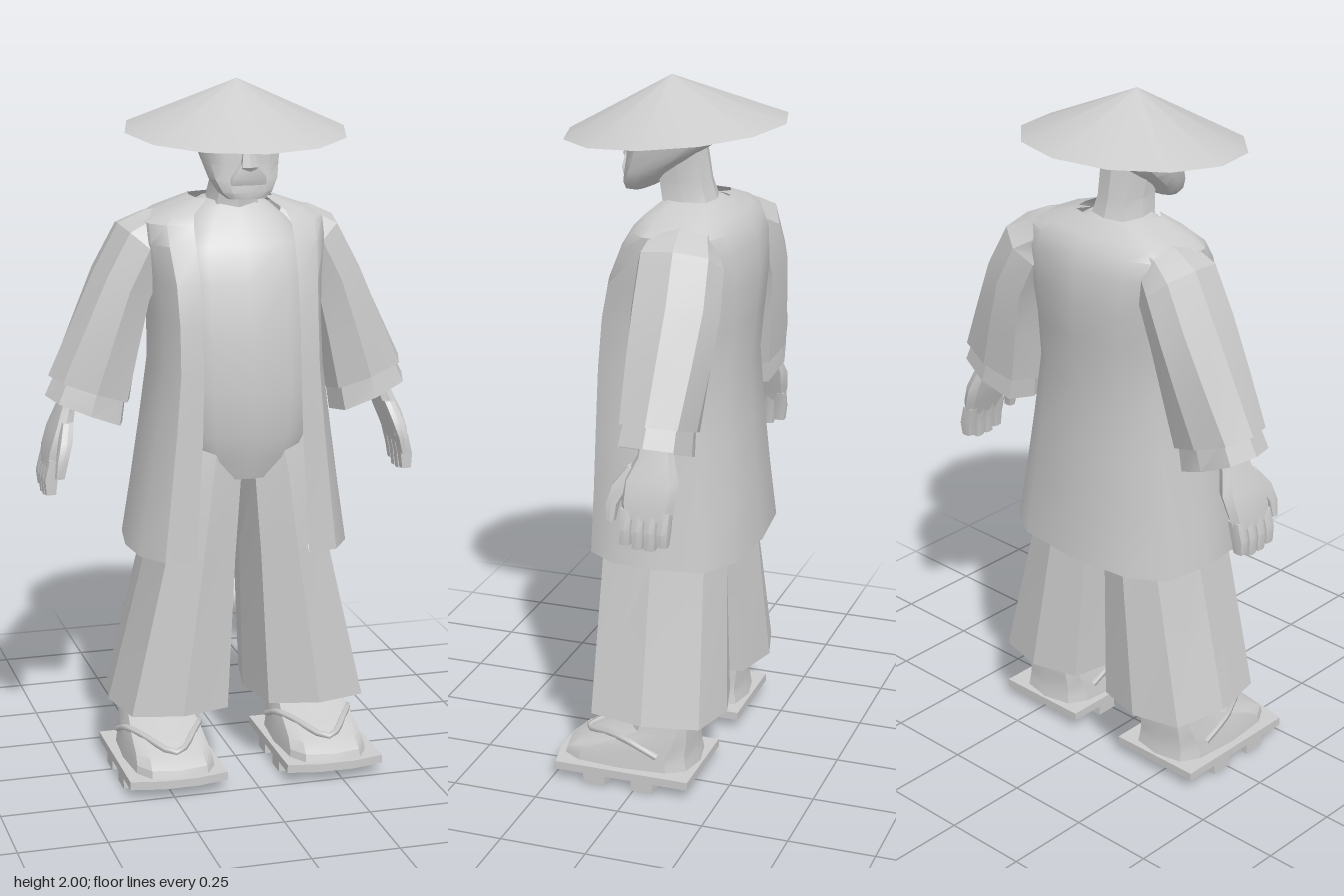
import * as THREE from 'three';
import { toCreasedNormals } from 'three/addons/utils/BufferGeometryUtils.js';

const material = new THREE.MeshStandardMaterial({ color: 0xcccccc });
const cloth = new THREE.MeshStandardMaterial({ color: 0xcccccc, side: THREE.DoubleSide });

// Rounded-square cross-section, counter-clockwise seen from above; tilt raises its +x side
function ring(cx, cy, cz, rx, rz, { n = 8, p = 0.6, tilt = 0 } = {}) {
  const round = (v) => Math.sign(v) * Math.pow(Math.abs(v) < 1e-6 ? 0 : Math.abs(v), p);
  return Array.from({ length: n }, (_, i) => {
    const a = (i / n) * Math.PI * 2;
    const u = rx * round(Math.sin(a));
    return [cx + u * Math.cos(tilt), cy + u * Math.sin(tilt), cz + rz * round(Math.cos(a))];
  });
}

// Horizontal section given by its back and front z
const slice = (y, rx, zBack, zFront, cx = 0, opts) =>
  ring(cx, y, (zBack + zFront) / 2, rx, (zFront - zBack) / 2, opts);

// Skin a stack of sections listed from bottom to top
function loft(rings, { closed = true, caps = true, crease = 0.45 } = {}) {
  const n = rings[0].length;
  const idx = [];
  for (let i = 0; i < rings.length - 1; i++) {
    for (let j = 0; j < (closed ? n : n - 1); j++) {
      const a = i * n + j, b = i * n + (j + 1) % n;
      idx.push(a, b, b + n, a, b + n, a + n);
    }
  }
  if (closed && caps) {
    const top = (rings.length - 1) * n;
    for (let j = 1; j < n - 1; j++) idx.push(0, j + 1, j, top, top + j, top + j + 1);
  }
  const g = new THREE.BufferGeometry();
  g.setAttribute('position', new THREE.Float32BufferAttribute(rings.flat(2), 3));
  g.setIndex(idx);
  return toCreasedNormals(g, crease);
}

const mirrored = (rings) => rings.map((r) => r.map(([x, y, z]) => [-x, y, z]).reverse());

export function createModel() {
  const model = new THREE.Group();
  model.name = 'figure';
  const add = (name, geometry, mat = material) => {
    const mesh = new THREE.Mesh(geometry, mat);
    mesh.name = name;
    model.add(mesh);
    return mesh;
  };
  const pair = (name, rings, opts, mat) => {
    add(name + 'Left', loft(rings, opts), mat);
    add(name + 'Right', loft(mirrored(rings), opts), mat);
  };

  // Straw hat, tipped forward
  const hat = add('hat', new THREE.ConeGeometry(0.315, 0.143, 12, 1, true).translate(0, 0.0715, 0), cloth);
  hat.position.y = 1.857;
  hat.rotation.x = 0.09;

  // Head with beard, nose, moustache and a forward-leaning neck
  const fine = { n: 12, p: 0.75 };
  add('head', loft([
    [1.682, 0.055, 0.08, 0.142], [1.7, 0.078, 0.04, 0.145], [1.735, 0.098, 0.01, 0.138],
    [1.775, 0.107, -0.05, 0.132], [1.83, 0.117, -0.128, 0.132], [1.87, 0.12, -0.138, 0.125],
    [1.9, 0.105, -0.12, 0.085],
  ].map(([y, rx, b, f]) => slice(y, rx, b, f, 0, fine)), { crease: 0.7 }));
  add('nose', loft([
    slice(1.755, 0.02, 0.1, 0.145, 0, { n: 6 }), slice(1.77, 0.024, 0.1, 0.156, 0, { n: 6 }),
    slice(1.83, 0.014, 0.1, 0.138, 0, { n: 6 }),
  ]));
  add('moustache', loft([
    slice(1.72, 0.062, 0.08, 0.142), slice(1.74, 0.058, 0.08, 0.149), slice(1.78, 0.022, 0.1, 0.146),
  ], { crease: 0.8 }));
  add('neck', loft([
    slice(1.6, 0.09, -0.15, 0.04), slice(1.66, 0.072, -0.12, 0.035),
    slice(1.71, 0.062, -0.104, 0.045), slice(1.82, 0.066, -0.085, 0.06),
  ]));

  // Shirt over chest and belly, sinking into the trousers
  add('shirt', loft([
    [0.89, 0.14, -0.15, 0.145], [0.95, 0.17, -0.17, 0.164], [1.02, 0.2, -0.19, 0.18],
    [1.15, 0.21, -0.2, 0.189], [1.3, 0.21, -0.2, 0.178], [1.45, 0.21, -0.22, 0.153],
    [1.55, 0.2, -0.21, 0.115], [1.61, 0.15, -0.18, 0.07], [1.645, 0.11, -0.15, 0.035],
    [1.662, 0.08, -0.13, 0.02],
  ].map(([y, rx, b, f]) => slice(y, rx, b, f, 0, { n: 16, p: 0.65 })), { crease: 0.8 }));

  // Open jacket: half of each section from the front edge to the back centre, then mirrored
  const jacketRing = ([y, edge, front, w, back]) => {
    const mid = (front + back) / 2, d = (front - back) / 2;
    const half = [
      [edge, y, front], [(edge + w) / 2 + 0.01, y, front - 0.02], [w * 0.96, y, mid + 0.55 * d],
      [w, y, mid], [w * 0.93, y, mid - 0.62 * d], [0.62 * w, y, back + 0.02],
    ];
    return [...half, [0, y, back], ...half.map(([x, h, z]) => [-x, h, z]).reverse()];
  };
  add('jacket', loft([
    [0.69, 0.165, 0.17, 0.296, -0.238], [0.67, 0.165, 0.188, 0.318, -0.262],
    [0.85, 0.155, 0.185, 0.29, -0.245], [1.02, 0.145, 0.184, 0.265, -0.232],
    [1.2, 0.14, 0.181, 0.24, -0.222], [1.34, 0.14, 0.169, 0.238, -0.235],
    [1.45, 0.14, 0.148, 0.245, -0.245], [1.55, 0.142, 0.108, 0.262, -0.238],
    [1.605, 0.14, 0.075, 0.262, -0.218], [1.632, 0.132, 0.05, 0.215, -0.195],
    [1.668, 0.085, 0.01, 0.115, -0.155],
  ].map(jacketRing), { closed: false, crease: 0.7 }), cloth);

  // Wide sleeves with an inner cuff, running up into the shoulders
  const tilted = (cx, cy, cz, rx, rz, tilt) => ring(cx, cy, cz, rx, rz, { tilt, p: 0.7 });
  pair('sleeve', [
    tilted(0.405, 1.127, -0.095, 0.124, 0.105, 0.34),
    tilted(0.355, 1.28, -0.1, 0.104, 0.118, 0.42),
    tilted(0.308, 1.42, -0.105, 0.088, 0.126, 0.52),
    tilted(0.25, 1.535, -0.1, 0.086, 0.122, 0.72),
    tilted(0.2, 1.565, -0.09, 0.074, 0.1, 1.0),
    tilted(0.13, 1.585, -0.085, 0.06, 0.08, 1.4),
  ], { caps: false, crease: 0.3 }, cloth);
  pair('cuff', [
    tilted(0.422, 1.065, -0.092, 0.121, 0.1, 0.4),
    tilted(0.4, 1.14, -0.095, 0.108, 0.095, 0.36),
  ], { caps: false }, cloth);

  // Forearms, palms, close-set fingers and thumbs
  pair('hand', [
    ring(0.523, 0.91, -0.098, 0.02, 0.068), ring(0.512, 0.955, -0.1, 0.026, 0.076),
    ring(0.492, 1.01, -0.103, 0.029, 0.078), ring(0.472, 1.07, -0.108, 0.024, 0.052),
    ring(0.45, 1.13, -0.105, 0.025, 0.045), ring(0.39, 1.27, -0.1, 0.035, 0.05),
  ]);
  for (let i = 0; i < 4; i++) {
    const z = -0.151 + i * 0.0355;
    const tip = 0.828 + (i === 0 ? 0.014 : i === 3 ? 0.008 : 0);
    pair('finger' + (i + 1), [
      ring(0.532, tip, z + 0.002, 0.016, 0.0155, { p: 0.5 }),
      ring(0.531, 0.88, z, 0.021, 0.0178, { p: 0.5 }),
      ring(0.517, 0.935, z, 0.021, 0.0178, { p: 0.5 }),
    ]);
  }
  pair('thumb', [
    ring(0.514, 0.892, 0.005, 0.014, 0.012), ring(0.506, 0.94, 0.002, 0.018, 0.018),
    ring(0.492, 0.99, -0.018, 0.02, 0.026), ring(0.478, 1.04, -0.06, 0.018, 0.03),
  ]);

  // Flared trouser legs with a turned-in hem
  pair('trouserLeg', [
    slice(0.27, 0.13, -0.18, 0.13, 0.2), slice(0.21, 0.145, -0.2, 0.15, 0.2),
    slice(0.21, 0.174, -0.225, 0.175, 0.203), slice(0.66, 0.125, -0.2, 0.17, 0.14),
    slice(0.9, 0.11, -0.185, 0.166, 0.11), slice(1.03, 0.09, -0.165, 0.15, 0.09),
  ], { crease: 0.3 });

  // Feet
  pair('foot', [
    [0.05, 0.125, -0.155, 0.25], [0.075, 0.122, -0.15, 0.242], [0.1, 0.118, -0.145, 0.205],
    [0.135, 0.113, -0.145, 0.11], [0.165, 0.105, -0.142, 0.035], [0.21, 0.098, -0.14, 0.015],
    [0.3, 0.085, -0.13, 0.01],
  ].map(([y, rx, b, f]) => slice(y, rx, b, f, 0.228, { n: 12 })));

  // Wooden sandals: sole with a bowed front, two cross bars and a V strap
  const sole = new THREE.Shape([
    [-0.143, 0.163], [0.143, 0.163], [0.143, -0.238], [0.05, -0.258], [-0.05, -0.258], [-0.143, -0.238],
  ].map(([x, y]) => new THREE.Vector2(x, y)));
  for (const [side, s] of [['Left', 1], ['Right', -1]]) {
    const x = 0.232 * s;
    add('sole' + side, new THREE.ExtrudeGeometry(sole, { depth: 0.024, bevelEnabled: false })
      .rotateX(-Math.PI / 2).translate(x, 0.03, 0));
    for (const [bar, z] of [['front', 0.12], ['rear', -0.025]]) {
      add(bar + 'Bar' + side, new THREE.BoxGeometry(0.286, 0.034, 0.065).translate(x, 0.017, z));
    }
    const strap = new THREE.CatmullRomCurve3([
      [-0.113, 0.1, -0.06], [-0.108, 0.136, 0.03], [-0.08, 0.136, 0.09], [0, 0.108, 0.188],
      [0.08, 0.136, 0.09], [0.108, 0.136, 0.03], [0.113, 0.1, -0.06],
    ].map(([a, y, z]) => new THREE.Vector3(0.228 * s + a, y, z)));
    add('strap' + side, new THREE.TubeGeometry(strap, 18, 0.01, 5));
  }
  return model;
}
